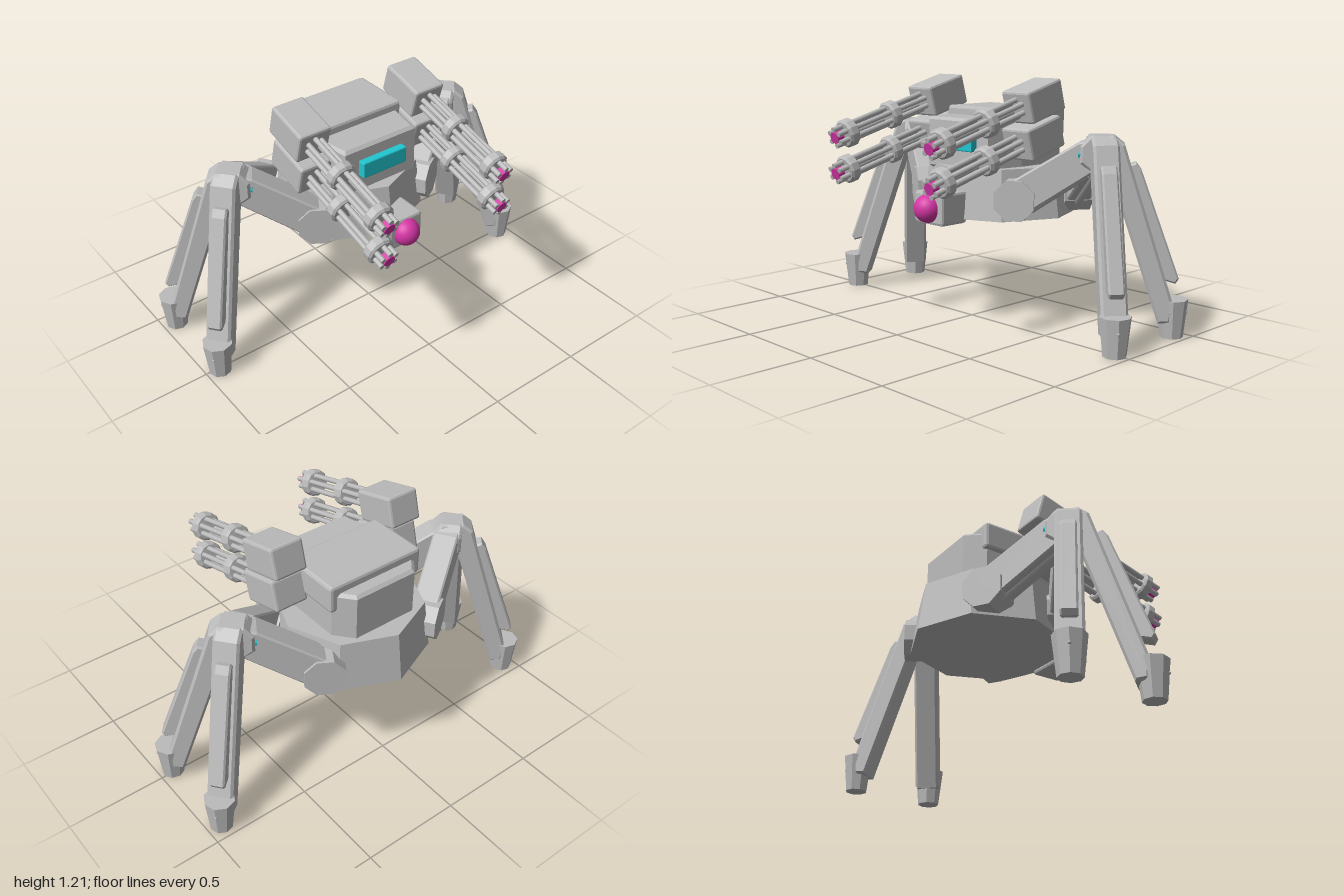
import * as THREE from 'three';
import { RoundedBoxGeometry } from 'three/addons/geometries/RoundedBoxGeometry.js';

const material = (name, color) => {
  const m = new THREE.MeshStandardMaterial({ color });
  m.name = name;
  return m;
};

export function createModel() {
  const grey = material('armour grey', 0xbcbcbc);
  const teal = material('teal glass', 0x22c6d0);
  const magenta = material('magenta glow', 0xd636a6);

  const model = new THREE.Group();
  model.name = 'walkerRobot';

  const add = (parent, name, geometry, mat, x = 0, y = 0, z = 0) => {
    const mesh = new THREE.Mesh(geometry, mat);
    mesh.name = name;
    mesh.position.set(x, y, z);
    parent.add(mesh);
    return mesh;
  };
  const flat = (geometry) => {
    const g = geometry.toNonIndexed();
    g.computeVertexNormals();
    return g;
  };
  const box = (w, h, d, r = 0.012) => flat(new RoundedBoxGeometry(w, h, d, 1, r));
  // Side profile in the x-y plane, given a bevelled width centred on z
  const plate = (points, width, bevel = 0.008) => {
    const shape = new THREE.Shape(points.map(([x, y]) => new THREE.Vector2(x, y)));
    const g = new THREE.ExtrudeGeometry(shape, {
      depth: width - 2 * bevel, bevelEnabled: true, bevelSegments: 1,
      bevelSize: bevel, bevelThickness: bevel, bevelOffset: -bevel,
    });
    return g.translate(0, 0, -width / 2 + bevel);
  };

  const midZ = -0.205;

  // Octagonal hull
  add(model, 'hull', flat(new THREE.CylinderGeometry(0.365, 0.398, 0.25, 8)), grey, 0, 0.655, midZ);

  // Cabin with tapered nose and tail, roof block and window
  const cabin = plate([
    [-0.21, -0.095], [0.21, -0.095], [0.245, 0.1], [0.245, 0.38],
    [0.17, 0.47], [-0.17, 0.47], [-0.245, 0.38], [-0.245, 0.1],
  ], 0.26, 0.015).rotateX(-Math.PI / 2);
  add(model, 'cabin', cabin, grey, 0, 0.885, 0);
  add(model, 'roofBlock', box(0.53, 0.14, 0.32, 0.015), grey, 0, 0.99, -0.24);
  add(model, 'window', box(0.26, 0.085, 0.06, 0.006), teal, 0, 0.902, 0.103);

  // Front sensor
  add(model, 'sensorHousing', box(0.2, 0.16, 0.165, 0.014), grey, 0, 0.59, 0.213);
  add(model, 'sensorEye', new THREE.SphereGeometry(0.07, 24, 16), magenta, 0, 0.59, 0.295);

  // Rotary guns: two stacked on each side, tilted downwards
  const alongZ = (r, length, sides) =>
    new THREE.CylinderGeometry(r, r, length, sides).rotateX(Math.PI / 2);
  const collar = new THREE.LatheGeometry([
    [0, -0.028], [0.06, -0.028], [0.071, -0.018], [0.071, 0.018], [0.06, 0.028], [0, 0.028],
  ].map(([r, y]) => new THREE.Vector2(r, y)), 12).rotateX(Math.PI / 2);
  const collarGeometry = flat(collar);
  const barrel = alongZ(0.013, 0.6, 10);
  const tip = flat(alongZ(0.03, 0.04, 8));
  const housing = box(0.175, 0.157, 0.24);

  function gun(x, y) {
    const g = new THREE.Group();
    g.name = 'rotaryGun';
    g.position.set(x, y, -0.082);
    g.rotation.x = THREE.MathUtils.degToRad(15.2);
    add(g, 'gunHousing', housing, grey);
    for (let i = 0; i < 6; i++) {
      const a = (i / 6) * Math.PI * 2;
      add(g, 'barrel', barrel, grey, 0.041 * Math.sin(a), 0.041 * Math.cos(a), 0.397);
    }
    for (const z of [0.333, 0.615]) add(g, 'barrelCollar', collarGeometry, grey, 0, 0, z);
    add(g, 'gunTip', tip, magenta, 0, 0, 0.68);
    model.add(g);
  }

  // Arm and leg shapes: x runs outwards, y is height
  const armGeometry = plate([
    [-0.03, -0.09], [0.06, -0.06], [0.4, 0.165], [0.37, 0.3], [0.3, 0.285], [-0.05, 0.07],
  ], 0.125);
  const hipGeometry = flat(alongZ(0.105, 0.15, 8).rotateZ(Math.PI / 8));
  const legGeometry = plate([
    [-0.1, 0.83], [-0.1, 0.91], [-0.055, 0.96], [0.055, 0.96], [0.105, 0.92],
    [0.345, 0.17], [0.335, 0.08], [0.275, 0.075], [0.04, 0.78], [-0.05, 0.79],
  ], 0.125, 0.012);
  const stripGeometry = plate([
    [0.11, 0.82], [0.16, 0.835], [0.185, 0.80], [0.37, 0.29], [0.355, 0.265], [0.3, 0.28],
  ], 0.075);
  const footGeometry = flat(new THREE.CylinderGeometry(0.075, 0.055, 0.185, 8));
  const lampGeometry = flat(new THREE.CylinderGeometry(0.052, 0.052, 0.012, 10).rotateZ(Math.PI / 2));
  const studGeometry = new THREE.SphereGeometry(0.008, 8, 6);

  function limb(side, end) {
    const arm = new THREE.Group();
    arm.name = 'arm';
    arm.position.set(side * 0.315, 0.64, midZ + end * 0.21);
    arm.rotation.y = Math.atan2(end * 0.2, side * 0.325);
    add(arm, 'hipJoint', hipGeometry, grey);
    add(arm, 'upperArm', armGeometry, grey);
    const rod = add(arm, 'armPiston', new THREE.CylinderGeometry(0.025, 0.025, 0.32, 10), grey, 0.2, 0.045, 0);
    rod.rotation.z = -0.98;
    model.add(arm);

    const leg = new THREE.Group();
    leg.name = 'leg';
    leg.position.set(side * 0.66, 0, midZ);
    leg.rotation.y = Math.atan2(-end * 0.63, side * 0.775);
    add(leg, 'legBeam', legGeometry, grey);
    add(leg, 'legArmour', stripGeometry, grey);
    add(leg, 'foot', footGeometry, grey, 0.345, 0.0925, 0);
    add(leg, 'kneeLamp', lampGeometry, teal, -0.103, 0.872, 0);
    add(leg, 'footStud', studGeometry, grey, 0.41, 0.12, 0);
    model.add(leg);
  }

  for (const side of [1, -1]) {
    for (const y of [1.11, 0.935]) gun(side * 0.34, y);
    for (const end of [1, -1]) limb(side, end);
  }
  return model;
}
